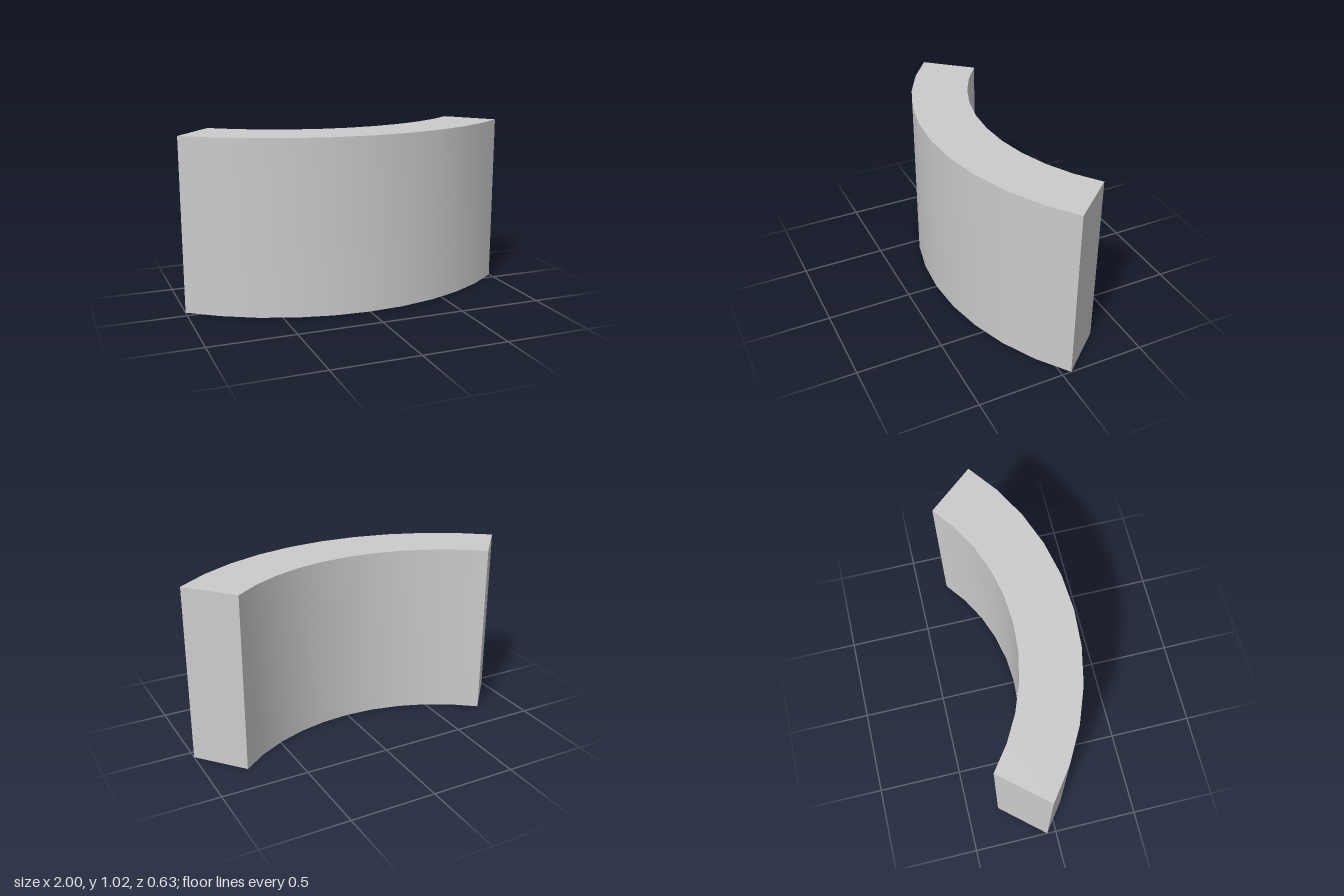
import * as THREE from 'three';
import { toCreasedNormals } from 'three/addons/utils/BufferGeometryUtils.js';

const HEIGHT = 1.025;
const OUTER = 1.536, INNER = 1.195; // radii of the two curved walls
const HALF_ANGLE = THREE.MathUtils.degToRad(40.6);
const CENTRE_Z = -1.221; // centre of curvature, behind the wall
const SEGMENTS = 10;

// Points along one arc, from the right end to the left end
function arc(radius) {
  return Array.from({ length: SEGMENTS + 1 }, (_, i) => {
    const a = HALF_ANGLE * (2 * i / SEGMENTS - 1);
    return new THREE.Vector2(radius * Math.sin(a), -(radius * Math.cos(a) + CENTRE_Z));
  });
}

export function createModel() {
  const group = new THREE.Group();
  group.name = 'curvedWall';

  // Ring sector plan, extruded upwards
  const plan = new THREE.Shape([...arc(OUTER), ...arc(INNER).reverse()]);
  const solid = new THREE.ExtrudeGeometry(plan, { depth: HEIGHT, bevelEnabled: false });
  solid.rotateX(-Math.PI / 2);

  // Smooth curved faces, sharp ends and rims
  const wall = new THREE.Mesh(
    toCreasedNormals(solid, THREE.MathUtils.degToRad(25)),
    new THREE.MeshStandardMaterial({ color: 0xcccccc })
  );
  wall.name = 'wallSegment';
  group.add(wall);
  return group;
}
